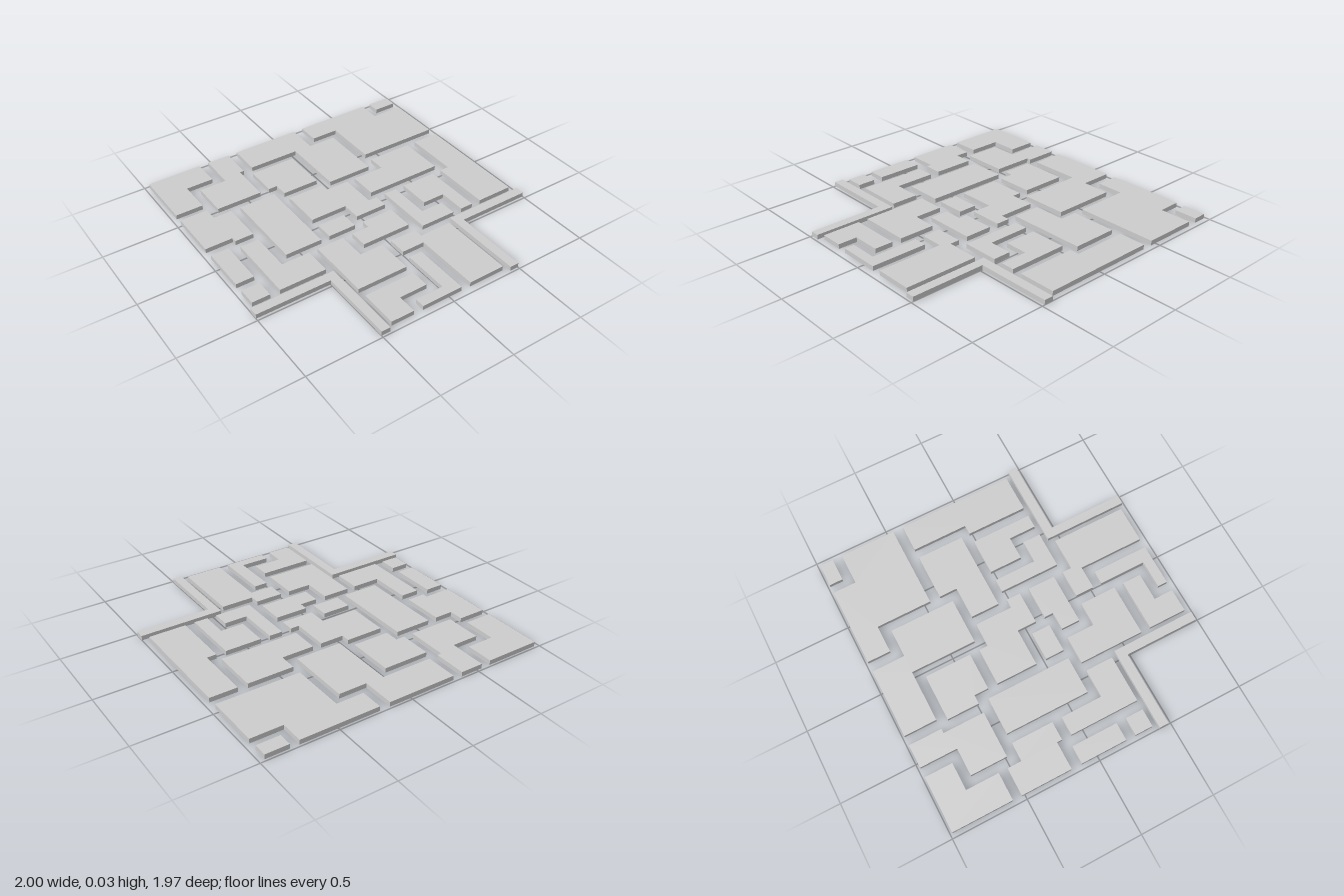
import * as THREE from 'three';

const HEIGHT = 0.031;
const material = new THREE.MeshStandardMaterial({ color: 0xcccccc, flatShading: true });

// Slab with a right-angled outline. The list alternates x and z: start at (x0, z0),
// move along x to x1, along z to z1, along x to x2 and so on, back to the start.
function slab(name, path) {
  const shape = new THREE.Shape();
  const n = path.length / 2;
  shape.moveTo(path[0], -path[1]);
  for (let i = 0; i < n; i++) {
    const z = path[i * 2 + 1];
    const nextX = path[((i + 1) % n) * 2];
    if (i > 0) shape.lineTo(path[i * 2], -z);
    shape.lineTo(nextX, -z);
  }
  const geometry = new THREE.ExtrudeGeometry(shape, { depth: HEIGHT, bevelEnabled: false });
  geometry.rotateX(-Math.PI / 2);
  const mesh = new THREE.Mesh(geometry, material);
  mesh.name = name;
  return mesh;
}

// Blocks along the back edge
const backBlocks = {
  backRightCornerBlock: [-0.97, -0.985, -0.6, -0.8, -0.785, -0.58],
  backSteppedBlock: [-0.535, -0.985, -0.38, -0.765, -0.41, -0.49, -0.72, -0.735],
  backMiddleBlock: [-0.315, -0.985, 0.15, -0.765, 0.34, -0.33, 0.03, -0.768],
  backLeftBlock: [0.22, -0.985, 0.75, -0.83, 0.965, -0.46, 0.405, -0.831],
  backLeftCornerBlock: [0.81, -0.985, 0.965, -0.895],
  innerBackBlock: [-0.345, -0.705, -0.035, -0.395, -0.285, -0.49],
};

// Blocks across the middle
const middleBlocks = {
  rightEdgeBlock: [-0.97, -0.52, -0.785, -0.425, -0.66, -0.145, -0.785, -0.18],
  longBlock: [-0.595, -0.425, -0.345, 0.14],
  centreBlock: [-0.285, -0.33, -0.035, -0.27, 0.125, -0.02, 0.185, 0.075, -0.035, -0.055],
  leftNotchedBlock: [0.405, -0.39, 0.715, -0.08, 0.185, -0.27],
  leftEdgeBlock: [0.78, -0.39, 0.965, 0.385, 0.715, -0.02],
  rightEdgeSmallBlock: [-0.97, -0.11, -0.85, 0.2],
  rightEdgeTinyBlock: [-0.97, 0.265, -0.85, 0.385],
  rightAngledBlock: [-0.785, -0.08, -0.66, 0.2, -0.47, 0.385],
  centreSmallBlock: [-0.285, 0.015, -0.095, 0.14],
  centreAngledBlock: [-0.035, 0.14, 0.185, 0.325, -0.155, 0.2],
  leftAngledBlock: [0.25, -0.02, 0.34, 0.265, 0.495, 0.385],
  leftHookBlock: [0.405, -0.02, 0.65, 0.385, 0.56, 0.2],
};

// Blocks between the two front walls
const frontBlocks = {
  frontRightBlock: [-0.41, 0.2, -0.225, 0.39, -0.065, 0.635],
  frontLeftBlock: [0, 0.39, 0.185, 0.455, 0.405, 0.955, 0.155, 0.515],
  frontCornerBlock: [-0.41, 0.7, -0.065, 0.825, -0.255, 0.955],
  frontHookBlock: [0, 0.575, 0.09, 0.955, -0.19, 0.89],
};

export function createModel() {
  const model = new THREE.Group();
  model.name = 'mazeBlocks';
  for (const [groupName, blocks] of Object.entries({ backBlocks, middleBlocks, frontBlocks })) {
    const group = new THREE.Group();
    group.name = groupName;
    for (const [name, path] of Object.entries(blocks)) group.add(slab(name, path));
    model.add(group);
  }

  // Mirrored corner walls at the front
  model.add(slab('rightFrontWall', [-1, 0.42, -0.44, 0.985, -0.5, 0.482]));
  model.add(slab('leftFrontWall', [0.44, 0.42, 1, 0.482, 0.5, 0.985]));
  return model;
}
